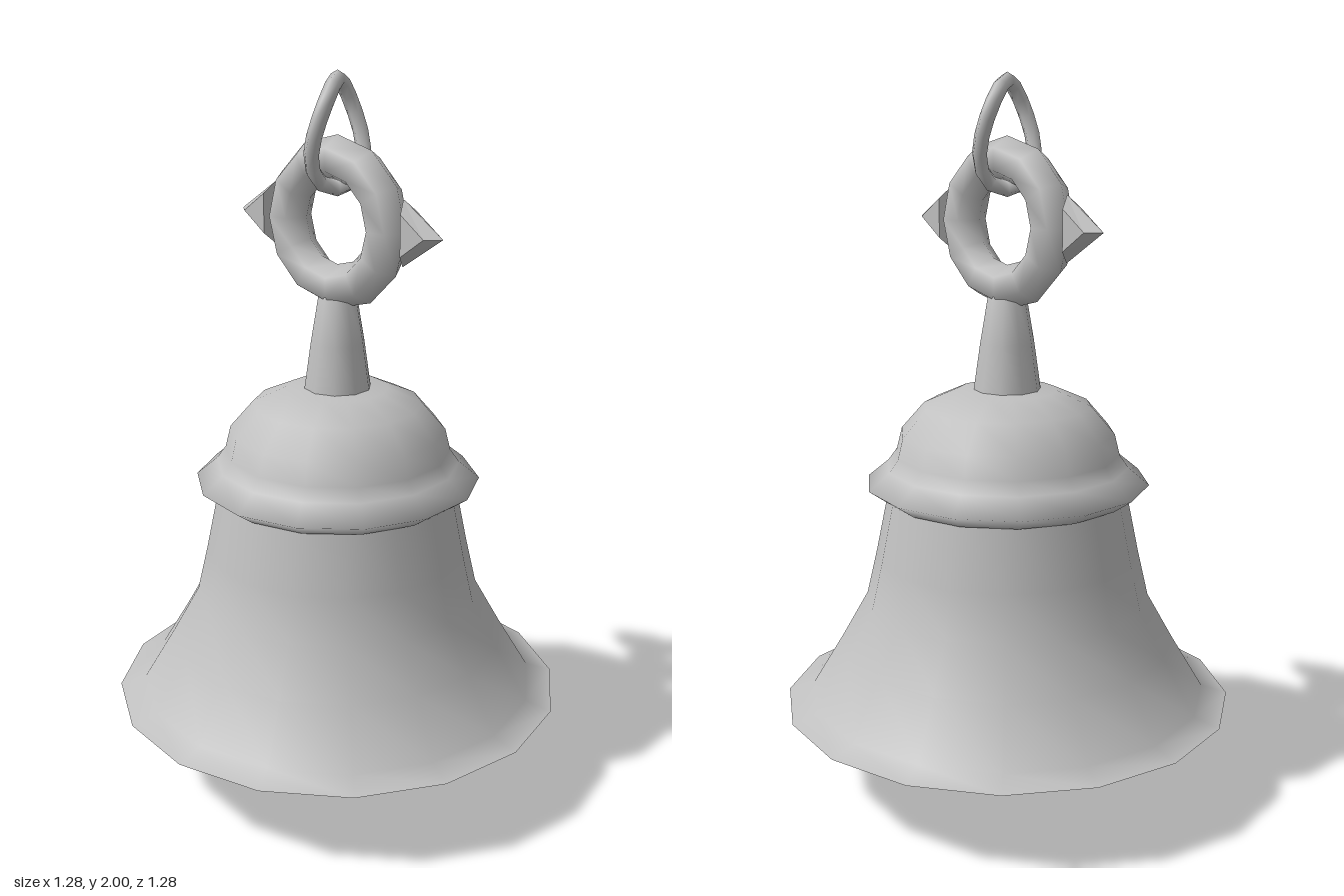
import * as THREE from 'three';

export function createModel() {
  const model = new THREE.Group();
  const metal = new THREE.MeshStandardMaterial({ color: 0xc0c0c0 });
  metal.name = 'grey metal';

  const add = (name, geometry) => {
    const mesh = new THREE.Mesh(geometry, metal);
    mesh.name = name;
    model.add(mesh);
    return mesh;
  };
  const lathe = (name, sides, profile) =>
    add(name, new THREE.LatheGeometry(profile.map(([r, y]) => new THREE.Vector2(r, y)), sides));

  // Flared bell wall with its thin lip
  lathe('bellSkirt', 16, [[0.638, 0.247], [0.565, 0.27], [0.475, 0.42], [0.402, 0.55], [0.372, 0.68], [0.335, 0.86]]);
  lathe('bellInside', 16, [[0, 1.09], [0.2, 1.06], [0.28, 0.97], [0.315, 0.84], [0.35, 0.68],
    [0.38, 0.55], [0.45, 0.42], [0.545, 0.27], [0.585, 0.247]]);
  lathe('bellLip', 16, [[0.58, 0.247], [0.638, 0.246]]);

  // Domed crown with the projecting rib
  lathe('crown', 14, [[0.32, 0.845], [0.345, 0.85], [0.398, 0.887], [0.34, 0.935], [0.315, 0.97],
    [0.3, 1.03], [0.235, 1.105], [0.14, 1.148], [0, 1.155]]);

  // Tapered stem
  lathe('stem', 10, [[0.095, 1.14], [0.075, 1.28], [0.053, 1.41], [0.025, 1.445], [0, 1.452]]);

  // Clapper with its small end knob
  lathe('clapperRod', 8, [[0.075, 0.3], [0.065, 0.55], [0.05, 1.1]]);
  lathe('clapperBall', 10, [[0, 0.112], [0.1, 0.115], [0.126, 0.2], [0.11, 0.26], [0.075, 0.32], [0, 0.33]]);
  lathe('clapperKnob', 6, [[0, 0], [0.028, 0.012], [0.04, 0.055], [0.022, 0.085], [0.022, 0.12]]);

  // Large hanging ring
  add('ring', new THREE.TorusGeometry(0.172, 0.06, 6, 12)).position.y = 1.605;

  // Bevelled pointed ornaments on both sides of the ring
  const point = new THREE.Shape([[0.24, -0.055], [0.315, 0], [0.24, 0.055]].map(([x, y]) => new THREE.Vector2(x, y)));
  const ornament = new THREE.ExtrudeGeometry(point, {
    depth: 0.004, bevelEnabled: true, bevelThickness: 0.032, bevelSize: 0.025, bevelSegments: 1,
  });
  ornament.translate(0, 0, -0.002);
  for (const [name, turn] of [['leftOrnament', 0], ['rightOrnament', Math.PI]]) {
    const mesh = add(name, ornament);
    mesh.position.y = 1.605;
    mesh.rotation.y = turn;
  }

  // Twisted top link
  const path = [];
  for (let i = 0; i < 12; i++) {
    const t = (i / 12) * Math.PI * 2;
    path.push(new THREE.Vector3(0.024 * Math.sin(2 * t), 1.838 + 0.142 * Math.cos(t), 0.092 * Math.sin(t)));
  }
  add('topLink', new THREE.TubeGeometry(new THREE.CatmullRomCurve3(path, true), 16, 0.021, 6, true));

  return model;
}
